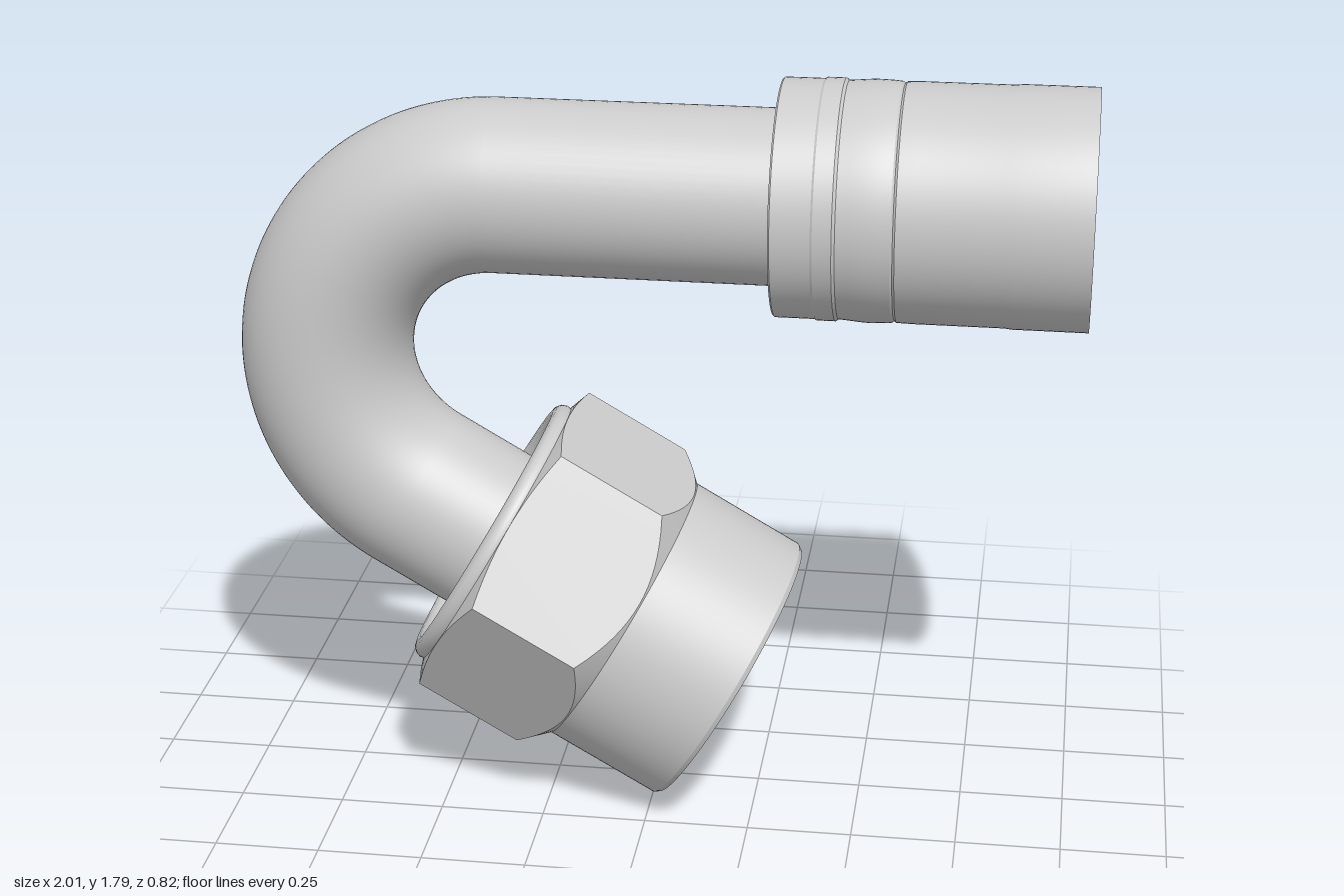
import * as THREE from 'three';
import { toCreasedNormals } from 'three/addons/utils/BufferGeometryUtils.js';

const grey = new THREE.MeshStandardMaterial({ color: 0xcccccc });
const inside = new THREE.MeshStandardMaterial({ color: 0xcccccc, side: THREE.BackSide });

const BEND = { x: -0.385, y: 1.11, r: 0.415, arc: (150 * Math.PI) / 180 };
const SEGS = 96;

function add(parent, name, geometry, material = grey) {
  const mesh = new THREE.Mesh(geometry, material);
  mesh.name = name;
  parent.add(mesh);
  return mesh;
}

// Turned part from [radius, height] pairs, with sharp edges kept
function turned(points, crease = 0.6) {
  const profile = points.map(([r, y]) => new THREE.Vector2(r, y));
  return toCreasedNormals(new THREE.LatheGeometry(profile, SEGS), crease);
}

// Straight cylinder wall along local y
function wall(radius, from, to) {
  return new THREE.CylinderGeometry(radius, radius, to - from, 64, 1, true).translate(0, (from + to) / 2, 0);
}

// Straight, bend and straight run of the pipe; the frames are the two end groups
function pipeRun(group, hoseEnd, nutEnd, name, radius, material) {
  add(hoseEnd, name + 'Straight', wall(radius, BEND.x, 0.32), material);
  const bend = new THREE.TorusGeometry(BEND.r, radius, 64, 80, BEND.arc);
  const mesh = add(group, name + 'Bend', bend, material);
  mesh.position.set(BEND.x, BEND.y, 0);
  mesh.rotation.z = Math.PI / 2;
  add(nutEnd, name + 'Tail', wall(radius, 0, 0.385), material);
}

// Hexagon of the nut: apothem, corner radius and where its bevels lie along the axis
const APOTHEM = 0.356;
const CORNER = APOTHEM / Math.cos(Math.PI / 6);
const BODY = 0.352;
const hexRadius = (off) => APOTHEM / Math.cos(off);
const cornerness = (off) => (hexRadius(off) - APOTHEM) / (CORNER - APOTHEM);
const frontEdge = (off) => 0.578 - 0.058 * cornerness(off);
const backEdge = (off) => 0.224 + 0.022 * cornerness(off);

// Conical bevel whose one rim follows the hexagon and the other the round body
function bevel(edge, bodyY, hexFirst) {
  const geometry = new THREE.LatheGeometry([new THREE.Vector2(1, 0), new THREE.Vector2(1, 1)], SEGS);
  const p = geometry.attributes.position;
  const sixth = Math.PI / 3;
  for (let i = 0; i < p.count; i++) {
    const phi = Math.atan2(p.getX(i), p.getZ(i)) + 2 * Math.PI;
    const off = phi - (Math.floor(phi / sixth + 1e-6) + 0.5) * sixth;
    const onHex = (p.getY(i) < 0.5) === hexFirst;
    const r = onHex ? hexRadius(off) : BODY;
    p.setXYZ(i, r * Math.sin(phi), onHex ? edge(off) : bodyY, r * Math.cos(phi));
  }
  return toCreasedNormals(geometry, 0.5);
}

// One flat of the hexagon, with curved ends where the bevels cut it
function flatShape() {
  const n = 16;
  const offs = Array.from({ length: n + 1 }, (_, i) => (i / n - 0.5) * (Math.PI / 3));
  const at = (off, edge) => new THREE.Vector2(APOTHEM * Math.tan(off), edge(off));
  return new THREE.Shape([
    ...offs.map((o) => at(o, backEdge)),
    ...offs.reverse().map((o) => at(o, frontEdge)),
  ]);
}

function buildNut(nut) {
  // Rounded lip and recess where the pipe enters
  add(nut, 'nutBackLip', turned([
    [0.2, 0.25], [0.29, 0.25], [0.29, 0.215], [0.298, 0.199], [0.312, 0.191], [0.325, 0.189],
    [0.338, 0.192], [0.349, 0.201], [0.354, 0.214], [BODY, 0.224],
  ], 0.8));
  // Round barrel, open mouth, bore and conical seat
  add(nut, 'nutBarrel', turned([
    [BODY, 0.582], [BODY, 0.872], [0.344, 0.884], [0.32, 0.884], [0.29, 0.855],
    [0.29, 0.5], [0.25, 0.5], [0.15, 0.38],
  ], 0.5));
  add(nut, 'nutFrontBevel', bevel(frontEdge, 0.582, true));
  add(nut, 'nutBackBevel', bevel(backEdge, 0.224, false));

  // Six flats; one carries a small drilled hole near a corner
  const hole = { x: -0.135, y: 0.35, r: 0.045, depth: 0.09 };
  for (let i = 0; i < 6; i++) {
    const side = new THREE.Group();
    side.name = 'hexSide' + (i + 1);
    side.rotation.y = ((i + 0.5) * Math.PI) / 3;
    nut.add(side);
    const shape = flatShape();
    if (i === 3) {
      shape.holes.push(new THREE.Path().absarc(hole.x, hole.y, hole.r, 0, Math.PI * 2, true));
      const drill = new THREE.CylinderGeometry(hole.r, hole.r, hole.depth, 32, 1, true).rotateX(Math.PI / 2);
      add(side, 'drilledHole', drill, inside).position.set(hole.x, hole.y, APOTHEM - hole.depth / 2);
      add(side, 'drilledHoleFloor', new THREE.CircleGeometry(hole.r, 32))
        .position.set(hole.x, hole.y, APOTHEM - hole.depth);
    }
    add(side, 'hexFlat', new THREE.ShapeGeometry(shape, 24)).position.z = APOTHEM;
  }
}

function buildHoseEnd(hoseEnd) {
  // Crimp sleeve with shallow steps and a groove
  add(hoseEnd, 'sleeve', turned([
    [0.2, 0.295], [0.225, 0.295], [0.235, 0.28], [0.273, 0.28], [0.276, 0.284], [0.276, 0.375],
    [0.279, 0.38], [0.279, 0.423], [0.274, 0.43], [0.276, 0.455], [0.279, 0.49], [0.278, 0.53],
    [0.276, 0.553], [0.272, 0.558], [0.276, 0.563], [0.277, 0.6], [0.277, 0.81], [0.279, 0.825],
    [0.279, 1], [0.268, 1], [0.262, 0.97], [0.248, 0.93], [0.248, 0.85], [0.185, 0.85],
  ], 0.4));
  // Inner nipple with rounded tip
  add(hoseEnd, 'nipple', turned([
    [0.19, 0.85], [0.19, 0.955], [0.187, 0.97], [0.18, 0.98], [0.172, 0.984],
    [0.163, 0.98], [0.157, 0.97], [0.154, 0.955], [0.15, 0.3],
  ], 0.9));
}

export function createModel() {
  const model = new THREE.Group();
  model.name = 'hoseFitting';

  // Hose end: local y runs along +x
  const hoseEnd = new THREE.Group();
  hoseEnd.name = 'hoseEnd';
  hoseEnd.position.y = BEND.y + BEND.r;
  hoseEnd.rotation.z = -Math.PI / 2;

  // Nut end: local y runs down and to +x, starting where the bend stops
  const nutEnd = new THREE.Group();
  nutEnd.name = 'nutEnd';
  const stop = Math.PI / 2 + BEND.arc;
  nutEnd.position.set(BEND.x + BEND.r * Math.cos(stop), BEND.y + BEND.r * Math.sin(stop), 0);
  nutEnd.rotation.z = BEND.arc + Math.PI / 2;
  model.add(hoseEnd, nutEnd);

  pipeRun(model, hoseEnd, nutEnd, 'pipe', 0.205, grey);
  pipeRun(model, hoseEnd, nutEnd, 'pipeBore', 0.15, inside);
  buildHoseEnd(hoseEnd);
  buildNut(nutEnd);
  return model;
}
